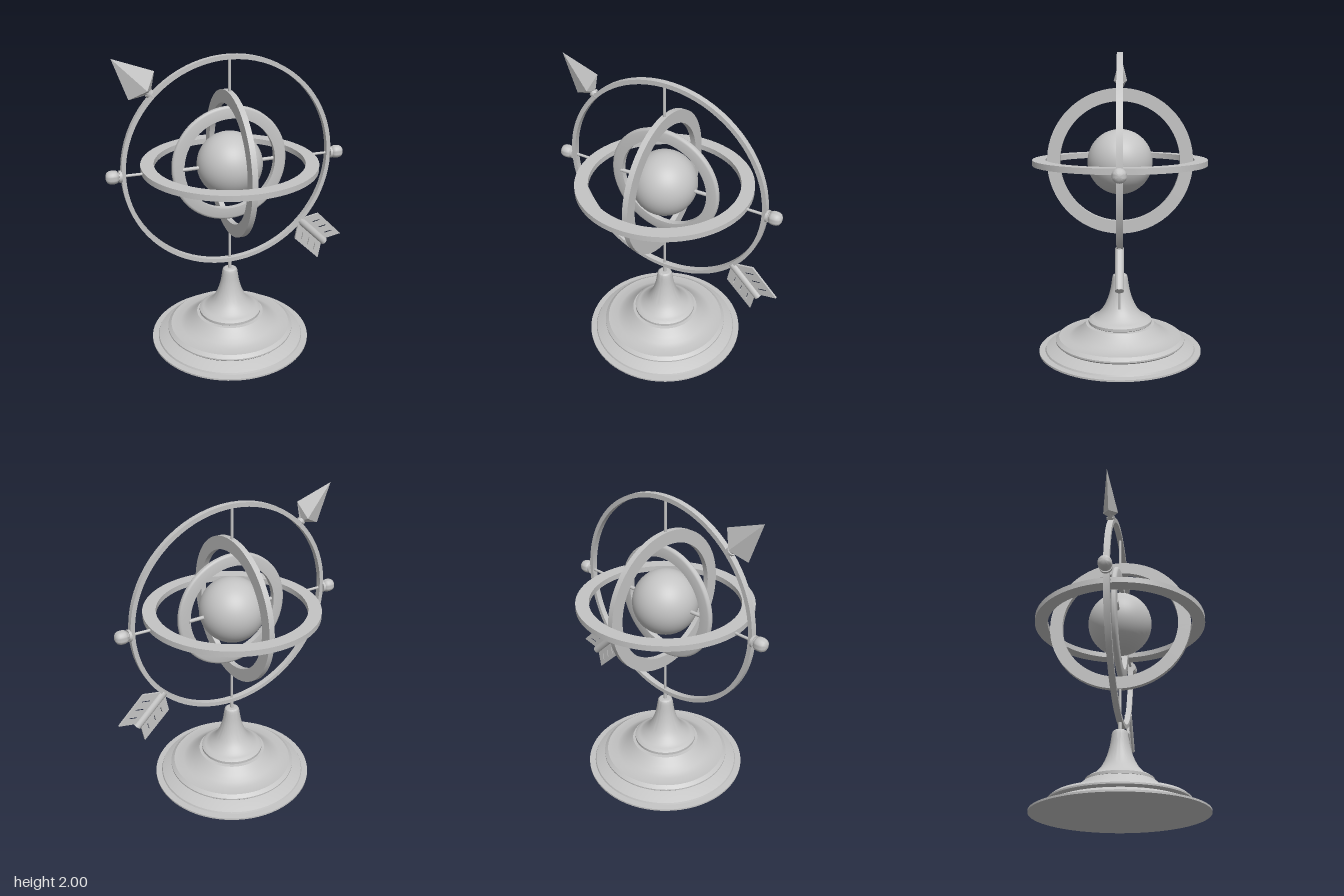
import * as THREE from 'three';
import { toCreasedNormals } from 'three/addons/utils/BufferGeometryUtils.js';

const CX = -0.013; // axis of the stand
const CY = 1.28; // centre of the globe and rings

export function createModel() {
  const model = new THREE.Group();
  model.name = 'armillarySphere';
  const grey = new THREE.MeshStandardMaterial({ color: 0xc4c4c4 });
  grey.name = 'grey';

  const add = (parent, name, geometry, x = 0, y = 0, z = 0) => {
    const mesh = new THREE.Mesh(geometry, grey);
    mesh.name = name;
    mesh.position.set(x, y, z);
    parent.add(mesh);
    return mesh;
  };
  const lathe = (points, segments = 72, crease = 0.5) =>
    toCreasedNormals(
      new THREE.LatheGeometry(points.map(([r, y]) => new THREE.Vector2(r, y)), segments), crease);
  const ring = (outer, inner, depth) => {
    const h = depth / 2;
    return lathe([[inner, -h], [outer, -h], [outer, h], [inner, h], [inner, -h]], 80);
  };
  // Cylinder along y between two heights
  const rod = (parent, name, radius, y0, y1) =>
    add(parent, name, new THREE.CylinderGeometry(radius, radius, y1 - y0, 20), 0, (y0 + y1) / 2);

  // Stepped, flared base with a tapering neck and a slightly dished underside
  const flare = new THREE.SplineCurve([
    [0.195, 0.225], [0.165, 0.24], [0.12, 0.285], [0.086, 0.35], [0.065, 0.42], [0.055, 0.48], [0.051, 0.508],
  ].map(([x, y]) => new THREE.Vector2(x, y))).getPoints(20).map((p) => [p.x, p.y]);
  add(model, 'base', lathe([
    [0, 0.018], [0.2, 0.016], [0.36, 0.011], [0.47, 0.005], [0.535, 0],
    [0.546, 0], [0.546, 0.012], [0.505, 0.014], [0.5, 0.025], [0.455, 0.045], [0.415, 0.06],
    [0.425, 0.063], [0.435, 0.073], [0.435, 0.083], [0.412, 0.102],
    [0.345, 0.102], [0.31, 0.118], [0.275, 0.143], [0.245, 0.172], [0.23, 0.188],
    [0.205, 0.19], [0.212, 0.195], [0.212, 0.213], [0.195, 0.225],
    ...flare.slice(1), [0.046, 0.52], [0.036, 0.527], [0, 0.528],
  ]), CX);

  // Everything above is placed about the globe's centre
  const sphere = new THREE.Group();
  sphere.name = 'ringsAndGlobe';
  sphere.position.set(CX, CY, 0);
  model.add(sphere);

  rod(sphere, 'stem', 0.012, -0.765, -0.685);
  add(sphere, 'globe', new THREE.SphereGeometry(0.212, 48, 32));
  add(sphere, 'outerRing', ring(0.699, 0.671, 0.038)).rotation.x = Math.PI / 2;
  add(sphere, 'horizonRing', ring(0.568, 0.483, 0.037));
  add(sphere, 'meridianRing', ring(0.474, 0.39, 0.036)).rotation.z = Math.PI / 2;
  // Inner ring with softened outer edges
  add(sphere, 'innerRing', lathe([
    [0.303, -0.019], [0.366, -0.019], [0.377, -0.015], [0.382, -0.006],
    [0.382, 0.006], [0.377, 0.015], [0.366, 0.019], [0.303, 0.019], [0.303, -0.019],
  ], 80, 0.9)).rotation.x = Math.PI / 2;

  // Pins joining each ring to the next
  const axle = rod(sphere, 'globeAxle', 0.012, -0.315, 0.315);
  axle.rotation.set(0, 0.045, Math.PI / 2);
  for (const s of [-1, 1]) {
    const polar = new THREE.Group();
    polar.name = 'polarPin';
    polar.rotation.z = s > 0 ? 0 : Math.PI;
    sphere.add(polar);
    rod(polar, 'pin', 0.009, 0.46, 0.68);

    // Side pin with collar and rounded knob on the rim
    const side = new THREE.Group();
    side.name = 'sideFinial';
    side.rotation.z = -s * Math.PI / 2;
    sphere.add(side);
    rod(side, 'sidePin', 0.009, 0.56, 0.69);
    rod(side, 'collar', 0.038, 0.695, 0.711);
    add(side, 'knob', lathe([
      [0.027, 0.705], [0.027, 0.715], [0.037, 0.721], [0.042, 0.734], [0.043, 0.752],
      [0.041, 0.768], [0.034, 0.782], [0.02, 0.791], [0, 0.794],
    ], 28, 0.9));
  }

  // Arrow seeming to pierce the outer ring; local +y points to its tip
  const arrow = new THREE.Group();
  arrow.name = 'arrow';
  arrow.rotation.z = Math.PI / 4;
  sphere.add(arrow);
  // Four-sided head, its thin side corners set back towards the neck
  const head = new THREE.LatheGeometry(
    [[0, 0.705], [0.02, 0.712], [0.114, 0.774], [0, 1.012]].map(([r, y]) => new THREE.Vector2(r, y)), 4);
  head.scale(1, 1, 0.42);
  const corners = head.attributes.position;
  for (let i = 0; i < corners.count; i++) {
    if (Math.abs(corners.getZ(i)) > 0.04) corners.setY(i, 0.738);
  }
  add(arrow, 'arrowHead', toCreasedNormals(head, 0.1), 0.004);
  rod(arrow, 'headNeck', 0.02, 0.68, 0.725);
  rod(arrow, 'headCollar', 0.028, 0.7, 0.715);

  // Tail set slightly off the head's axis
  const tail = new THREE.Group();
  tail.name = 'arrowTail';
  tail.position.x = 0.025;
  arrow.add(tail);
  rod(tail, 'tailShaft', 0.026, -0.965, -0.68);

  // Slanted feather vanes with three thin slits each
  const slope = 0.7;
  for (const s of [-1, 1]) {
    const at = (d, lat) => new THREE.Vector2(s * lat, -(d + slope * (lat - 0.026)));
    const vane = new THREE.Shape([at(0.7, 0.015), at(0.7, 0.12), at(0.955, 0.118), at(0.955, 0.015)]);
    for (const d of [0.757, 0.825, 0.893]) {
      vane.holes.push(new THREE.Path([at(d, 0.05), at(d, 0.092), at(d + 0.007, 0.092), at(d + 0.007, 0.05)]));
    }
    add(tail, 'featherVane',
      new THREE.ExtrudeGeometry(vane, { depth: 0.014, bevelEnabled: false }), 0, 0, -0.007);
  }
  return model;
}
